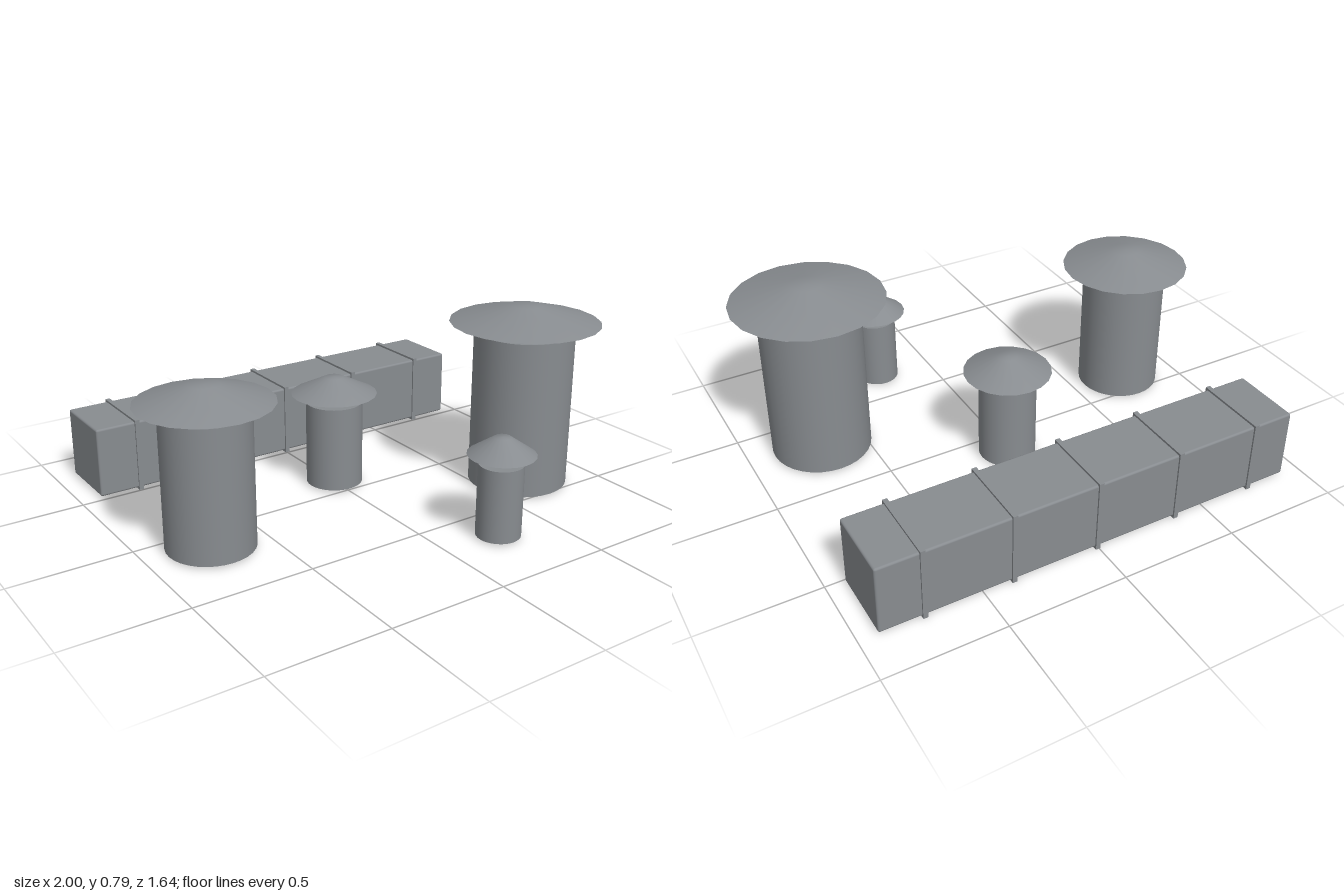
import * as THREE from 'three';
import { RoundedBoxGeometry } from 'three/addons/geometries/RoundedBoxGeometry.js';

const metal = new THREE.MeshStandardMaterial({ color: 0x888c90 });
metal.name = 'ductGrey';

function add(parent, name, geometry, x, y, z) {
  const mesh = new THREE.Mesh(geometry, metal);
  mesh.name = name;
  mesh.position.set(x, y, z);
  parent.add(mesh);
  return mesh;
}

// Vertical pipe with a shallow rain cap floating above it
function makeVent(name, x, z, radius, top, capRadius, crownRadius) {
  const base = 0.01, gap = 0.037, capHeight = 0.072;
  const vent = new THREE.Group();
  vent.name = name;
  vent.position.set(x, 0, z);
  const height = top - base;
  add(vent, 'pipe', new THREE.CylinderGeometry(radius, radius, height, 32), 0, base + height / 2, 0);

  // Cap: sloped skirt blending into a small level crown
  const profile = [
    new THREE.Vector2(capRadius, 0),
    new THREE.Vector2(crownRadius, capHeight - 0.001),
    new THREE.Vector2(0, capHeight),
  ];
  add(vent, 'rainCap', new THREE.LatheGeometry(profile, 20), 0, top + gap, 0);

  // Flat underside of the cap
  const under = new THREE.CircleGeometry(capRadius, 20).rotateX(Math.PI / 2);
  add(vent, 'capUnderside', under, 0, top + gap, 0);
  return vent;
}

export function createModel() {
  const model = new THREE.Group();
  model.name = 'rooftopVents';

  model.add(
    makeVent('mediumVent', -0.73, 0.13, 0.18, 0.562, 0.272, 0.06),
    makeVent('smallVent', 0.005, -0.113, 0.121, 0.376, 0.183, 0.04),
    makeVent('tinyVent', 0.25, 0.685, 0.091, 0.314, 0.137, 0.034),
    makeVent('largeVent', 0.68, 0.318, 0.212, 0.684, 0.318, 0.065),
  );

  // Long horizontal duct with raised seam bands
  const duct = new THREE.Group();
  duct.name = 'duct';
  duct.position.set(0.005, 0.161, -0.663);
  add(duct, 'ductBody', new RoundedBoxGeometry(1.835, 0.302, 0.302, 2, 0.009), 0, 0, 0);
  for (let i = -2; i <= 2; i++) {
    add(duct, 'seamBand', new THREE.BoxGeometry(0.02, 0.32, 0.316), i * 0.368, 0, 0);
  }
  model.add(duct);
  return model;
}
